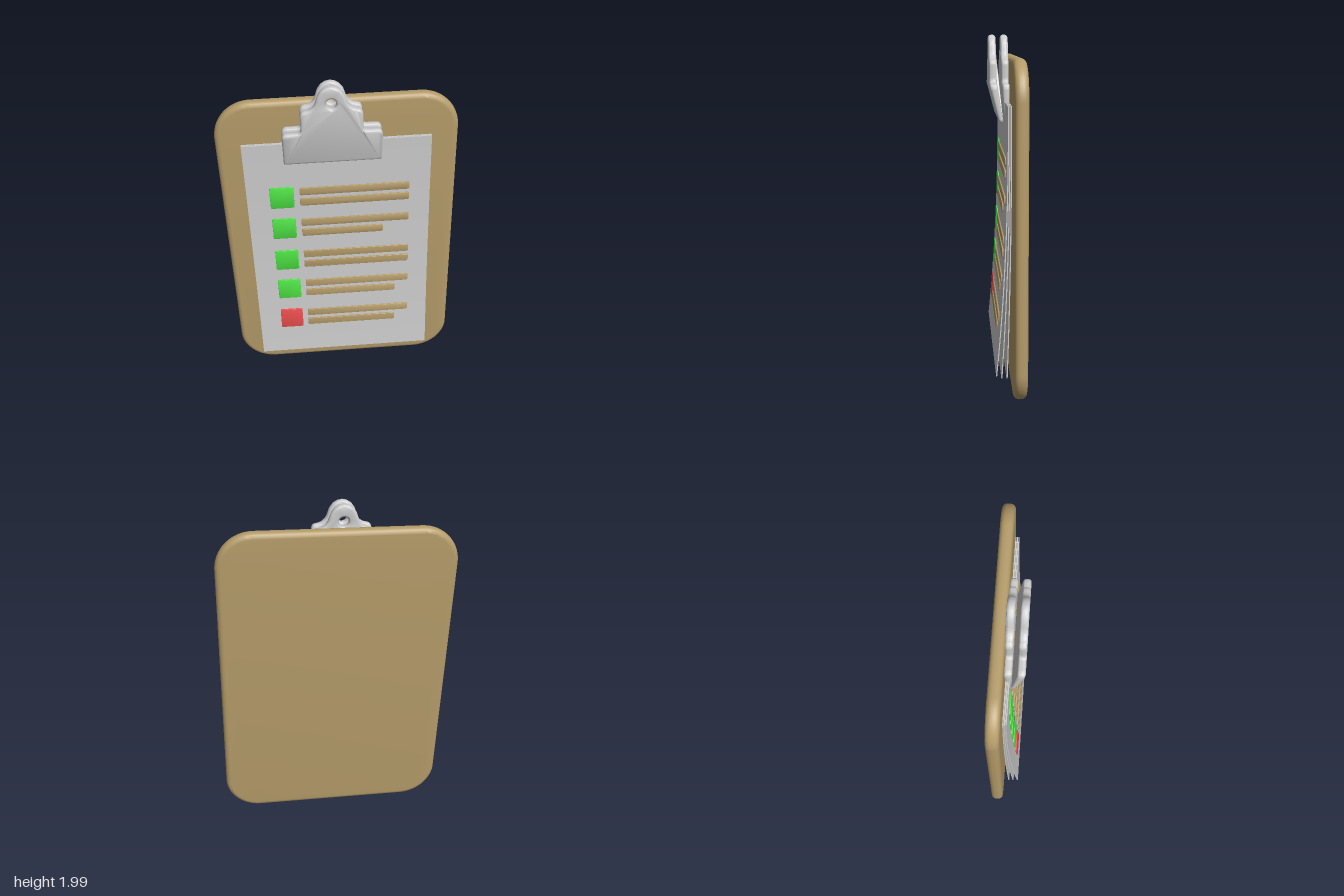
import * as THREE from 'three';
import { toCreasedNormals } from 'three/addons/utils/BufferGeometryUtils.js';

const mat = (color) => new THREE.MeshStandardMaterial({ color });
const GREY = mat(0xcccccc), TAN = mat(0xb49b69), GREEN = mat(0x4be042), RED = mat(0xe84c4c);

function add(parent, name, geometry, material) {
  const mesh = new THREE.Mesh(geometry, material);
  mesh.name = name;
  parent.add(mesh);
  return mesh;
}

// Shift every vertex in z by a rule
function bend(geometry, rule) {
  const p = geometry.attributes.position;
  for (let i = 0; i < p.count; i++) p.setZ(i, rule(p.getY(i), p.getZ(i)));
  geometry.computeVertexNormals();
  return geometry;
}

function roundedRect(w, h, r) {
  const x = w / 2, y = h / 2, s = new THREE.Shape();
  s.absarc(x - r, y - r, r, 0, Math.PI / 2);
  s.absarc(-x + r, y - r, r, Math.PI / 2, Math.PI);
  s.absarc(-x + r, -y + r, r, Math.PI, Math.PI * 1.5);
  s.absarc(x - r, -y + r, r, Math.PI * 1.5, Math.PI * 2);
  s.closePath();
  return s;
}

// Extrusion with a rounded rim, lying between z = 0 and z = thickness
function slab(shape, thickness, bevel, curveSegments) {
  const g = new THREE.ExtrudeGeometry(shape, {
    depth: thickness - 2 * bevel, bevelSize: bevel, bevelThickness: bevel,
    bevelOffset: -bevel, bevelSegments: 4, curveSegments,
  });
  return g.translate(0, 0, bevel);
}

// Forward curl of a sheet, growing towards its lower edge
const PAPER_TOP = 0.69, PAPER_LENGTH = 1.49;
const curl = (y, base, lift) =>
  base + lift * Math.pow(Math.max(0, (PAPER_TOP - y) / PAPER_LENGTH), 2.2);

// Outline of one clip jaw: wide grip, neck and round tab with a hole
function clipShape() {
  const s = new THREE.Shape();
  s.moveTo(-0.255, 0.578);
  s.lineTo(0.255, 0.578);
  s.quadraticCurveTo(0.268, 0.578, 0.268, 0.592);
  s.lineTo(0.268, 0.755);
  s.quadraticCurveTo(0.268, 0.787, 0.235, 0.787);
  s.lineTo(0.19, 0.787);
  s.quadraticCurveTo(0.165, 0.787, 0.165, 0.815);
  s.lineTo(0.165, 0.88);
  s.quadraticCurveTo(0.165, 0.912, 0.135, 0.914);
  s.quadraticCurveTo(0.095, 0.92, 0.08, 0.965);
  s.bezierCurveTo(0.06, 1.073, -0.06, 1.073, -0.08, 0.965);
  s.quadraticCurveTo(-0.095, 0.92, -0.135, 0.914);
  s.quadraticCurveTo(-0.165, 0.912, -0.165, 0.88);
  s.lineTo(-0.165, 0.815);
  s.quadraticCurveTo(-0.165, 0.787, -0.19, 0.787);
  s.lineTo(-0.235, 0.787);
  s.quadraticCurveTo(-0.268, 0.787, -0.268, 0.755);
  s.lineTo(-0.268, 0.592);
  s.quadraticCurveTo(-0.268, 0.578, -0.255, 0.578);
  const hole = new THREE.Path();
  hole.absarc(0, 0.951, 0.028, 0, Math.PI * 2, true);
  s.holes.push(hole);
  return s;
}

export function createModel() {
  const model = new THREE.Group();
  model.name = 'clipboard';

  // Everything is built on the board's front plane, then leaned slightly
  const body = new THREE.Group();
  body.name = 'clipboardBody';
  body.position.set(0, 0.955, -0.012);
  body.rotation.set(0, -0.037, 0.028);
  model.add(body);

  // Board
  const board = slab(roundedRect(1.325, 1.86, 0.21), 0.072, 0.028, 10);
  board.translate(0, 0, -0.072);
  add(body, 'board', toCreasedNormals(board, 0.6), TAN);

  // Three curling sheets, back to front: [base, lift, length]
  const sheets = [[0.008, 0.025, 1.49], [0.016, 0.046, 1.488], [0.024, 0.068, 1.475]];
  sheets.forEach(([base, lift, length], i) => {
    const g = new THREE.BoxGeometry(1.036, length, 0.006, 1, 16, 1);
    g.translate(-0.005, PAPER_TOP - length / 2, 0);
    add(body, `sheet${i + 1}`, bend(g, (y, z) => z + curl(y, base, lift)), GREY);
  });

  // Check boxes and text bars follow the front sheet
  const onSheet = (y, z) => z + curl(y, 0.026, 0.068);
  const mark = (name, shape, x, y, material) => {
    const g = slab(shape, 0.014, 0.002, 3);
    g.translate(x, y, -0.005);
    add(body, name, toCreasedNormals(bend(g, onSheet), 0.6), material);
  };
  const rows = [[0.349, 0.62], [0.139, 0.47], [-0.086, 0.62], [-0.301, 0.54], [-0.526, 0.54]];
  rows.forEach(([y, shortLength], i) => {
    mark(`checkBox${i + 1}`, roundedRect(0.135, 0.135, 0.008), -0.325, y, i === 4 ? RED : GREEN);
    [0.62, shortLength].forEach((length, k) => {
      mark(`textBar${i + 1}_${k + 1}`, roundedRect(length, 0.046, 0.01),
        -0.225 + length / 2, y + (k ? -0.035 : 0.035), TAN);
    });
  });

  // Clip: two jaws that bend together and thin out towards the grip edge
  const clip = new THREE.Group();
  clip.name = 'clip';
  clip.position.x = -0.03;
  body.add(clip);
  const jaw = (name, base, shift, thinning) => {
    const g = bend(slab(clipShape(), 0.042, 0.014, 8), (y, z) => {
      const t = Math.min(1, Math.max(0, (0.77 - y) / 0.19));
      return base + z * (1 - thinning * t) + shift * t;
    });
    add(clip, name, toCreasedNormals(g, 0.6), GREY);
  };
  jaw('backJaw', -0.004, 0.012, 0.5);
  jaw('frontJaw', 0.064, -0.03, 0.45);

  return model;
}
